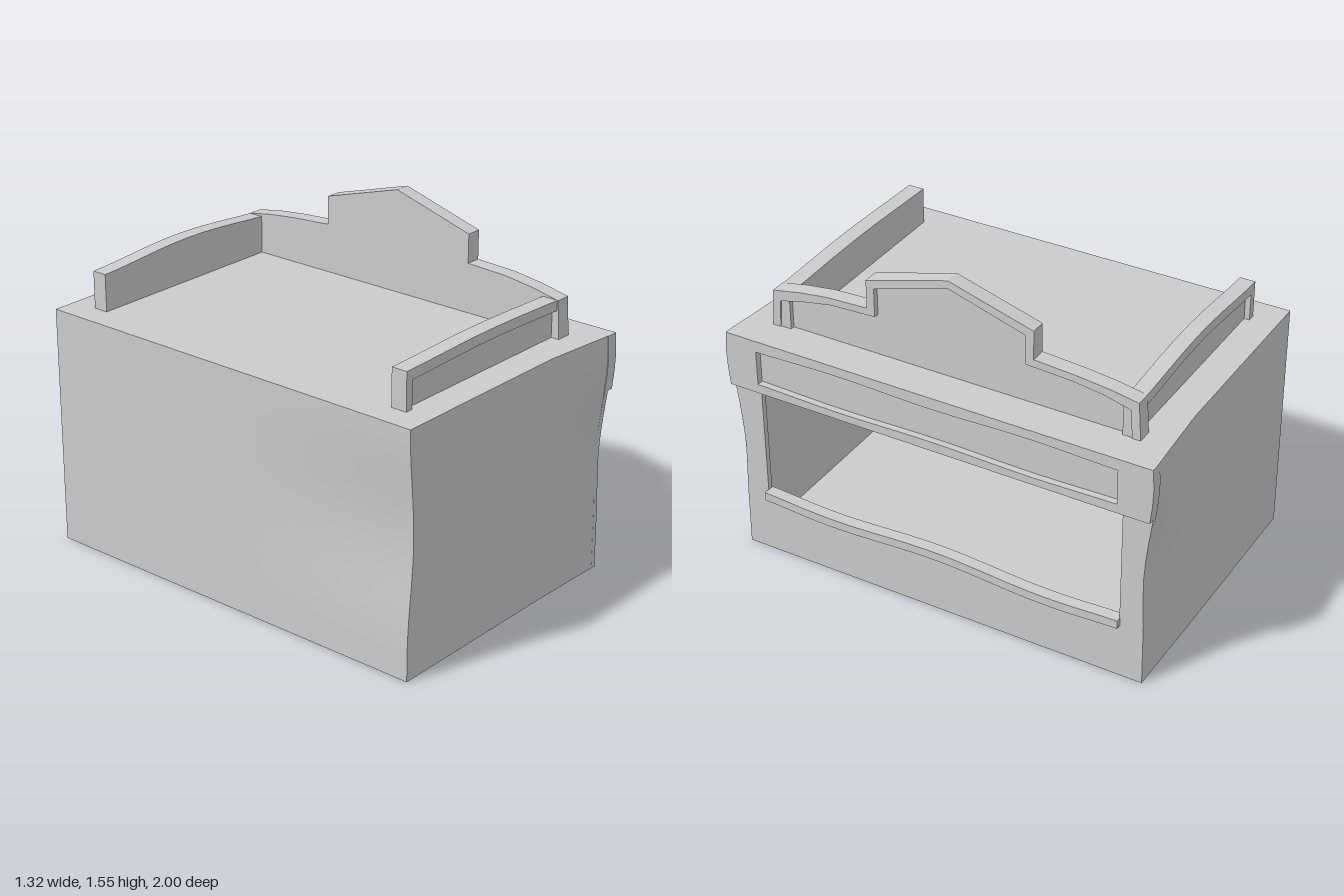
import * as THREE from 'three';

const material = new THREE.MeshStandardMaterial({ color: 0xcccccc, side: THREE.DoubleSide });
const TOP = 1.087, FRONT = 0.63;

// piecewise linear lookup in a short list of [key, value]
function lookup(table, k) {
  for (let i = 1; i < table.length; i++) {
    const [a, va] = table[i - 1], [b, vb] = table[i];
    if (k <= b) return va + (vb - va) * Math.max(0, (k - a) / (b - a));
  }
  return table[table.length - 1][1];
}

// half width of the facade edge at each height
const flare = [[0, 0.965], [0.3, 0.962], [0.42, 0.957], [0.52, 0.955], [0.62, 0.961],
  [0.72, 0.972], [0.82, 0.985], [0.92, 0.995], [1.0, 0.998], [TOP, 0.992]];

// z of a side wall; the walls spread towards the facade
function sideZ(x, y, sign) {
  const w = THREE.MathUtils.clamp((x - 0.25) / 0.38, 0, 1);
  return sign * THREE.MathUtils.lerp(sign > 0 ? 0.957 : 0.968, lookup(flare, y), w);
}

// x of the rear wall; it is dented towards +z
function rearX(y, t) {
  const bend = Math.max(0, Math.sin(Math.PI * (y - 0.12) / 0.97));
  return -0.66 + 0.03 * bend * bend * THREE.MathUtils.smoothstep(t, 0.45, 1);
}

function add(group, name, geometry) {
  const mesh = new THREE.Mesh(geometry, material);
  mesh.name = name;
  group.add(mesh);
  return mesh;
}

// curved sheet from a rule (u, v in 0..1) -> [x, y, z]
function sheet(rule, nu = 20, nv = 20) {
  const g = new THREE.PlaneGeometry(1, 1, nu, nv);
  const p = g.attributes.position;
  for (let i = 0; i < p.count; i++) p.setXYZ(i, ...rule(p.getX(i) + 0.5, p.getY(i) + 0.5));
  g.computeVertexNormals();
  return g;
}

function shapeOf(points, hole) {
  const s = new THREE.Shape(points.map(([x, y]) => new THREE.Vector2(x, y)));
  if (hole) s.holes.push(new THREE.Path(hole.map(([x, y]) => new THREE.Vector2(x, y))));
  return s;
}

// plate seen from the facade: shape x runs along -z, thickness along x
function facadePlate(shape, x0, x1) {
  const g = new THREE.ExtrudeGeometry(shape, { depth: x1 - x0, bevelEnabled: false });
  return g.rotateY(Math.PI / 2).translate(x0, 0, 0);
}

function sidePlate(shape, z0, z1) {
  return new THREE.ExtrudeGeometry(shape, { depth: z1 - z0, bevelEnabled: false }).translate(0, 0, z0);
}

// outline following the flared edges between two heights
function flaredOutline(y0, y1) {
  const ys = [y0, ...flare.map(f => f[0]).filter(y => y > y0 && y < y1), y1];
  const right = ys.map(y => [lookup(flare, y), y]);
  return [...right, ...right.map(([x, y]) => [-x, y]).reverse()];
}

// band between two lines, sampled along the facade
function band(s0, s1, low, high) {
  const n = 32, a = [], b = [];
  for (let i = 0; i <= n; i++) {
    const s = s0 + (s1 - s0) * i / n;
    a.push([s, low(s)]);
    b.unshift([s, high(s)]);
  }
  return [...a, ...b];
}

export function createModel() {
  const model = new THREE.Group();
  model.name = 'building';

  // hollow body
  const body = new THREE.Group();
  body.name = 'body';
  model.add(body);
  for (const sign of [1, -1]) {
    add(body, sign > 0 ? 'leftSideWall' : 'rightSideWall', sheet((u, v) => {
      const y = v * TOP, t = sign > 0 ? u : 1 - u;
      const x = THREE.MathUtils.lerp(rearX(y, sign > 0 ? 1 : 0), FRONT, t);
      return [x, y, sideZ(x, y, sign)];
    }));
  }
  add(body, 'rearWall', sheet((u, v) => {
    const y = v * TOP;
    return [rearX(y, u), y, THREE.MathUtils.lerp(sideZ(-0.66, y, -1), sideZ(-0.66, y, 1), u)];
  }));
  const level = (y, flip) => (u, v) => {
    const x = -0.66 + (FRONT + 0.66) * u, t = flip ? v : 1 - v;
    return [x, y, THREE.MathUtils.lerp(sideZ(x, y, -1), sideZ(x, y, 1), t)];
  };
  add(body, 'roof', sheet(level(TOP, false)));
  add(body, 'floor', sheet(level(0, true)));

  // facade wall with a wide opening
  const sillLow = s => 0.262 + 0.012 * Math.cos(s * 6) * (Math.abs(s) < 0.8 ? 1 : 0.4) - 0.008 * s;
  const opening = band(-0.852, 0.855, sillLow, () => 0.83);
  add(body, 'facadeWall', facadePlate(shapeOf(flaredOutline(0, TOP), opening), FRONT - 0.025, FRONT));
  add(body, 'sill', facadePlate(shapeOf(band(-0.855, 0.858, sillLow, s => sillLow(s) + 0.04)),
    FRONT - 0.03, 0.655));

  // header with a sunken sign panel
  const panel = band(-0.845, 0.842, s => 0.871 + 0.004 * Math.cos(s * 7),
    s => 1.039 - 0.005 * Math.cos(s * 7));
  add(model, 'headerFrame', facadePlate(shapeOf(flaredOutline(0.832, TOP), panel), FRONT, 0.66));

  // gabled front parapet: solid plate plus raised border
  const base = 1.075;
  const gable = [[-0.858, base], [-0.847, 1.255], [-0.72, 1.281], [-0.58, 1.3], [-0.385, 1.308],
    [-0.385, 1.438], [0, 1.55], [0.387, 1.438], [0.387, 1.308], [0.58, 1.295], [0.72, 1.28],
    [0.85, 1.258], [0.862, base]];
  const gableInner = [[-0.82, base], [-0.812, 1.213], [-0.7, 1.242], [-0.56, 1.268], [-0.348, 1.277],
    [-0.348, 1.408], [0, 1.514], [0.35, 1.408], [0.35, 1.275], [0.56, 1.264], [0.7, 1.245],
    [0.815, 1.215], [0.825, base]];
  const parapet = new THREE.Group();
  parapet.name = 'parapet';
  model.add(parapet);
  add(parapet, 'gablePlate', facadePlate(shapeOf(gable), 0.44, 0.485));
  add(parapet, 'gableBorder',
    facadePlate(shapeOf([...gable, ...gableInner.slice().reverse()]), 0.485, 0.51));

  // side parapets with arched tops and raised borders
  for (const sign of [1, -1]) {
    const rise = sign > 0 ? 0.012 : 0.03;
    const arch = (x0, x1, y) => {
      const pts = [[x0, base]];
      for (let i = 0; i <= 16; i++) {
        const t = i / 16;
        pts.push([x0 + (x1 - x0) * t, y + rise * Math.sin(Math.PI * t) ** 1.5]);
      }
      return [...pts, [x1, base]];
    };
    const outer = arch(-0.543, 0.505, 1.255), inner = arch(-0.507, 0.47, 1.21);
    const name = sign > 0 ? 'left' : 'right';
    const [zIn, zMid, zOut] = sign > 0 ? [0.77, 0.82, 0.843] : [-0.78, -0.826, -0.85];
    add(parapet, name + 'ParapetPlate',
      sidePlate(shapeOf(outer), Math.min(zIn, zMid), Math.max(zIn, zMid)));
    add(parapet, name + 'ParapetBorder', sidePlate(shapeOf([...outer, ...inner.slice().reverse()]),
      Math.min(zMid, zOut), Math.max(zMid, zOut)));
  }
  return model;
}
